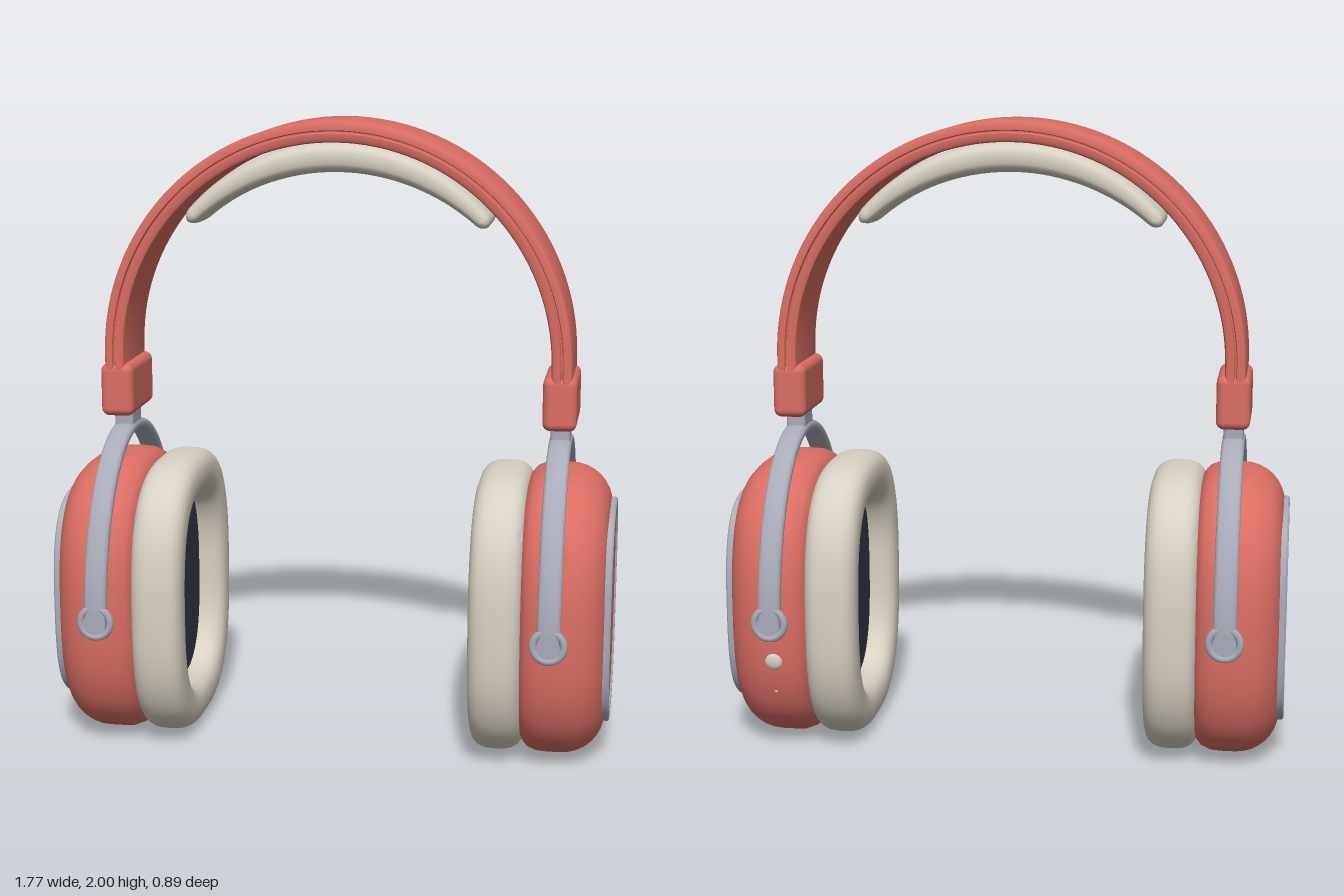
import * as THREE from 'three';
import { toCreasedNormals } from 'three/addons/utils/BufferGeometryUtils.js';
import { RoundedBoxGeometry } from 'three/addons/geometries/RoundedBoxGeometry.js';

const mat = (name, color) => new THREE.MeshStandardMaterial({ name, color });
const V = (x, y, z) => new THREE.Vector3(x, y, z);

// Skin a list of equal-length rings; either closed into a loop or capped at both ends
function loft(rings, loop = false, crease = 0.6) {
  const n = rings[0].length, m = rings.length, pos = [], idx = [];
  rings.forEach(r => r.forEach(p => pos.push(p.x, p.y, p.z)));
  for (let i = 0; i < (loop ? m : m - 1); i++) {
    for (let j = 0; j < n; j++) {
      const k = (j + 1) % n, a = i * n, b = ((i + 1) % m) * n;
      idx.push(a + j, a + k, b + j, a + k, b + k, b + j);
    }
  }
  if (!loop) {
    [0, m - 1].forEach((i, end) => {
      const c = rings[i].reduce((s, p) => s.add(p), V(0, 0, 0)).divideScalar(n);
      const ci = pos.length / 3;
      pos.push(c.x, c.y, c.z);
      for (let j = 0; j < n; j++) {
        const a = i * n + j, b = i * n + (j + 1) % n;
        if (end) idx.push(a, b, ci); else idx.push(ci, b, a);
      }
    });
  }
  const g = new THREE.BufferGeometry();
  g.setAttribute('position', new THREE.Float32BufferAttribute(pos, 3));
  g.setIndex(idx);
  return toCreasedNormals(g, crease);
}

// Points [u, w] of a superellipse
function squircle(hu, hw, power, n) {
  return Array.from({ length: n }, (_, i) => {
    const a = (i / n) * Math.PI * 2, c = Math.cos(a), s = Math.sin(a);
    return [hu * Math.sign(c) * Math.abs(c) ** (2 / power), hw * Math.sign(s) * Math.abs(s) ** (2 / power)];
  });
}

// Ear-shaped outline in the y-z plane
const CY = 0.4575;
const outline = (x, hy, hz, power = 2.7) => squircle(hy, hz, power, 72).map(([u, w]) => V(x, CY + u, w));

export function createModel() {
  const coral = mat('coral', 0xdb6e64), cream = mat('cream', 0xd8d0c3);
  const metal = mat('metal grey', 0xa9acb8), dark = mat('dark mesh', 0x353945);
  const model = new THREE.Group();
  model.name = 'headphones';
  const add = (parent, name, geo, material, x = 0, y = 0, z = 0) => {
    const mesh = new THREE.Mesh(geo, material);
    mesh.name = name;
    mesh.position.set(x, y, z);
    parent.add(mesh);
    return mesh;
  };

  // Headband: section with a fine groove along both edges, swept over an arch
  const half = [[0.033, 0.118], [0.029, 0.13], [0.02, 0.135], [0.005, 0.135], [0.002, 0.126],
    [-0.002, 0.126], [-0.005, 0.135], [-0.02, 0.135], [-0.029, 0.13], [-0.033, 0.118]];
  const section = [...half, ...half.map(([u, w]) => [-u, -w])];
  const archY = 1.257;
  const archRing = (sec, a, r, dy = 0) =>
    sec.map(([u, w]) => V(Math.sin(a) * (r + u), archY + dy + Math.cos(a) * (r + u), w));
  const band = [archRing(section, -Math.PI / 2, 0.71, -0.1)];
  for (let i = 0; i <= 64; i++) band.push(archRing(section, (i / 64 - 0.5) * Math.PI, 0.71));
  band.push(archRing(section, Math.PI / 2, 0.71, -0.1));
  add(model, 'headband', loft(band), coral);

  // Head pad: crescent that thins toward rounded ends
  const pad = [];
  for (let i = 0; i <= 48; i++) {
    const s = -Math.cos((i / 48) * Math.PI);
    const round = Math.max(0.1, Math.min(1, Math.sqrt(Math.max(0, 1 - ((Math.abs(s) - 0.95) / 0.05) ** 2))));
    const k = Math.abs(s) < 0.95 ? 1 : round;
    const sec = squircle((0.048 - 0.021 * s * s) * k, 0.112 * (0.75 + 0.25 * k), 3.2, 32);
    pad.push(archRing(sec, s * 0.84, 0.628 + 0.006 * s * s));
  }
  add(model, 'headPad', loft(pad, false, 0.9), cream);

  function earpiece(name) {
    const g = new THREE.Group();
    g.name = name;
    model.add(g);

    // Cup shell: [x, inset from the full outline]
    const shell = [[0.605, 0.06], [0.612, 0.035], [0.63, 0.014], [0.66, 0.002], [0.69, 0], [0.735, 0]];
    for (let i = 1; i <= 8; i++) {
      const a = (i / 8) * Math.PI / 2;
      shell.push([0.735 + 0.135 * Math.sin(a), 0.125 * (1 - Math.cos(a))]);
    }
    add(g, 'cupShell', loft(shell.map(([x, d]) => outline(x, 0.455 - d, 0.378 - d))), coral);

    // Outer face: metal trim ring around a flat panel
    const trim = [[0.86, 0], [0.881, 0], [0.886, 0.005], [0.886, 0.021], [0.881, 0.026], [0.86, 0.026]];
    add(g, 'trimRing', loft(trim.map(([x, d]) => outline(x, 0.346 - d, 0.283 - d, 3)), true), metal);
    add(g, 'outerPanel', loft([0.86, 0.88].map(x => outline(x, 0.323, 0.26, 3))), coral);

    // Ear cushion: soft ring with a squarish tube section
    const tube = squircle(0.07, 0.083, 2.7, 28).map(([u, w]) => outline(0.533 + w, 0.384 + u, 0.316 + u));
    add(g, 'earCushion', loft(tube, true, 1), cream);
    add(g, 'speakerMesh', loft([0.535, 0.6].map(x => outline(x, 0.335, 0.265))), dark);

    // Yoke: flattened bar arching over the cup, front to back
    const bar = squircle(0.019, 0.036, 2.8, 20), yoke = [];
    for (let i = 0; i <= 56; i++) {
      const a = (i / 56 - 0.5) * Math.PI, s = Math.sin(a), c = Math.cos(a);
      const nrm = new THREE.Vector2(c / 0.545, s / 0.425).normalize();
      yoke.push(bar.map(([u, w]) => V(0.705 + w, 0.456 + 0.545 * c + nrm.x * u, -(0.425 * s + nrm.y * u))));
    }
    // The ring order runs from front to back
    yoke.reverse();
    yoke.forEach(r => r.reverse());
    add(g, 'yoke', loft(yoke), metal);

    // Pivots at both yoke ends
    for (const side of [-1, 1]) {
      const pin = add(g, 'pivotPin', new THREE.CylinderGeometry(0.036, 0.036, 0.09, 32), metal, 0.705, 0.46, side * 0.4);
      pin.rotation.x = Math.PI / 2;
      add(g, 'pivotRing', new THREE.TorusGeometry(0.047, 0.012, 12, 36), metal, 0.705, 0.46, side * 0.43);
    }

    // Slider neck and the block that holds the band end
    add(g, 'sliderNeck', new RoundedBoxGeometry(0.062, 0.12, 0.11, 3, 0.012), metal, 0.705, 1.045, 0);
    add(g, 'bandBlock', new RoundedBoxGeometry(0.106, 0.17, 0.272, 4, 0.025), coral, 0.705, 1.14, 0);
    return g;
  }

  // The right earpiece is the left one turned around
  const left = earpiece('leftEarpiece');
  earpiece('rightEarpiece').rotation.y = Math.PI;

  // Control button and small indicator on the back of the left cup
  const button = add(left, 'controlButton', new THREE.SphereGeometry(0.03, 24, 16), cream, 0.71, 0.32, -0.366);
  button.scale.z = 0.5;
  const light = add(left, 'indicator', new THREE.SphereGeometry(0.011, 16, 12), cream, 0.71, 0.215, -0.343);
  light.scale.z = 0.8;

  return model;
}
